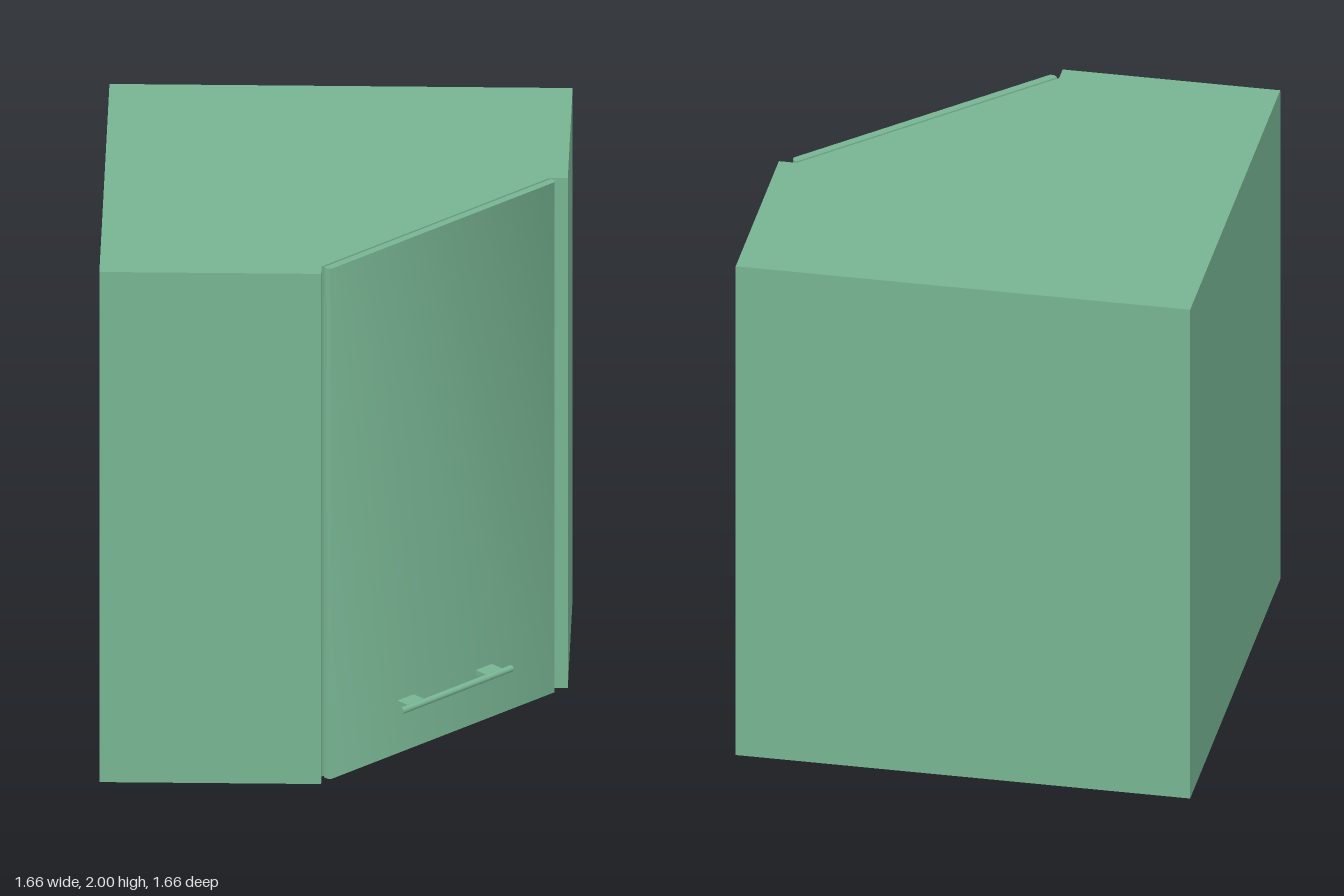
import * as THREE from 'three';
import { toCreasedNormals } from 'three/addons/utils/BufferGeometryUtils.js';

const material = new THREE.MeshStandardMaterial({ color: 0x77b492 });

// Upright prism from a plan outline of [x, z] points
function prism(plan, height) {
  const shape = new THREE.Shape(plan.map(([x, z]) => new THREE.Vector2(x, -z)));
  return new THREE.ExtrudeGeometry(shape, { depth: height, bevelEnabled: false }).rotateX(-Math.PI / 2);
}

function addPart(parent, name, geometry, x = 0, y = 0, z = 0) {
  const mesh = new THREE.Mesh(geometry, material);
  mesh.name = name;
  mesh.position.set(x, y, z);
  parent.add(mesh);
}

export function createModel() {
  const model = new THREE.Group();
  model.name = 'cornerCabinet';

  // Body: square plan with a diagonal front and two short returns
  addPart(model, 'cabinetBody', prism([
    [-0.83, -0.83], [0.83, -0.83], [0.83, -0.035], [0.765, -0.035],
    [-0.035, 0.765], [-0.035, 0.83], [-0.83, 0.83],
  ], 2));

  // Diagonal front: local x runs along the door, local z points outwards
  const front = new THREE.Group();
  front.name = 'diagonalFront';
  front.rotation.y = Math.PI / 4;
  model.add(front);

  // Door with softened vertical edges
  const w = 0.563, back = 0.525, face = 0.555, c = 0.01;
  const door = prism([
    [-w, back], [w, back], [w, face - c], [w - c, face], [-w + c, face], [-w, face - c],
  ], 2);
  addPart(front, 'door', toCreasedNormals(door, Math.PI / 3));

  // Hinges in the gap at the right end of the door
  for (const y of [0.3, 1.7]) {
    addPart(front, 'hinge', new THREE.BoxGeometry(0.06, 0.05, 0.012), 0.525, y, 0.52);
  }

  // Handle: round bar on two flat mounts
  const handle = new THREE.Group();
  handle.name = 'handle';
  handle.position.set(0.007, 0.198, 0);
  front.add(handle);
  addPart(handle, 'handleBar', new THREE.CylinderGeometry(0.0125, 0.0125, 0.545, 16).rotateZ(Math.PI / 2), 0, 0, 0.617);
  for (const side of [-1, 1]) {
    addPart(handle, 'handleMount', new THREE.BoxGeometry(0.08, 0.018, 0.064), side * 0.194, 0, 0.585);
  }

  return model;
}
